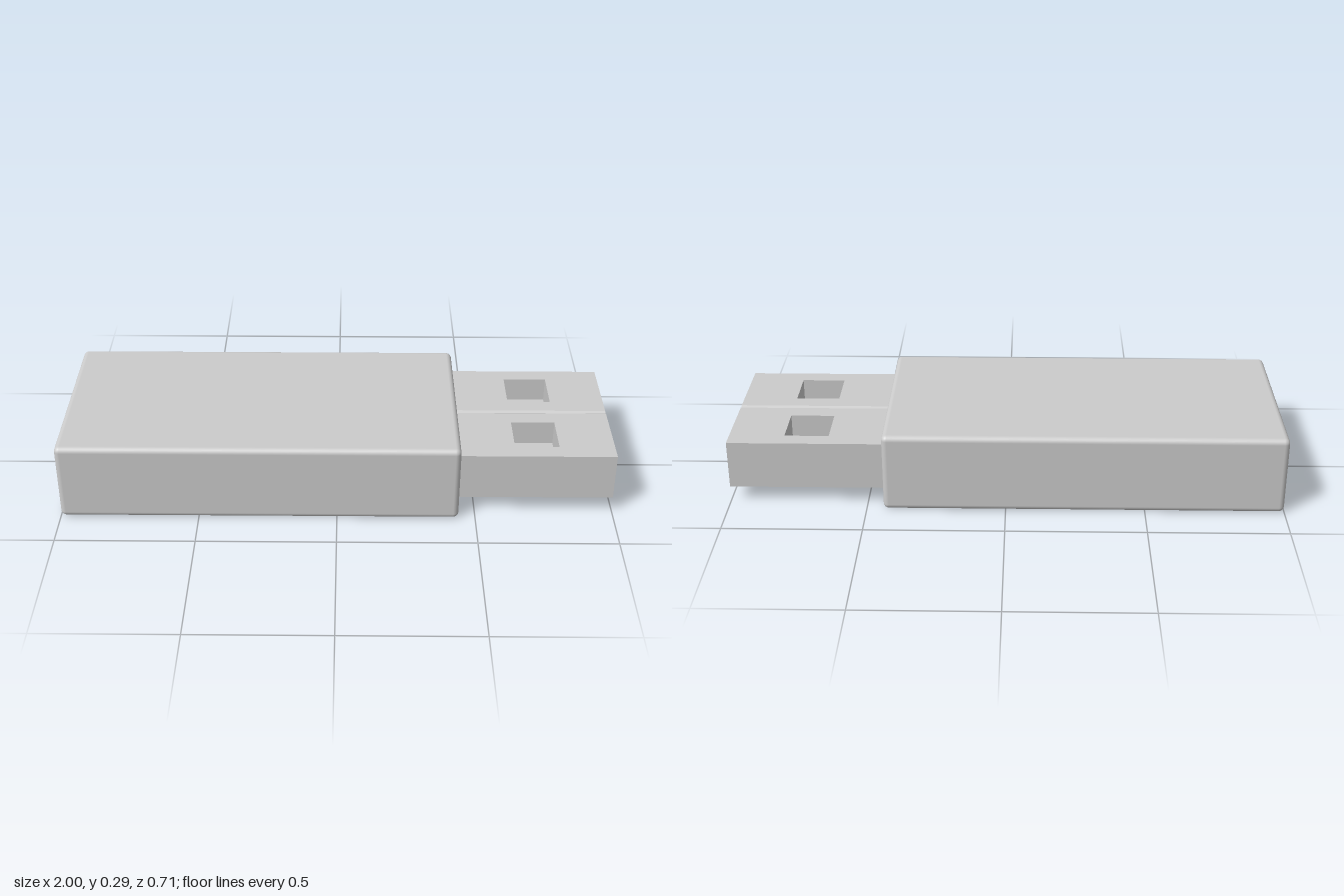
import * as THREE from 'three';
import { mergeGeometries } from 'three/addons/utils/BufferGeometryUtils.js';
import { RoundedBoxGeometry } from 'three/addons/geometries/RoundedBoxGeometry.js';

const rect = (u0, u1, v0, v1) => [[u0, v0], [u1, v0], [u1, v1], [u0, v1]];
const level = y => ([x, z]) => [x, y, z];   // outline in (x, z)
const section = x => ([z, y]) => [x, y, z]; // outline in (z, y)

// Geometry from a list of triangle corners, one flat normal per face
function fromCorners(corners, flip) {
  const pts = [];
  for (let i = 0; i < corners.length; i += 3) {
    const [a, b, c] = corners.slice(i, i + 3);
    pts.push(...a, ...(flip ? c : b), ...(flip ? b : c));
  }
  const g = new THREE.BufferGeometry();
  g.setAttribute('position', new THREE.Float32BufferAttribute(pts, 3));
  g.computeVertexNormals();
  return g;
}

// Flat sheet with holes; unflipped it faces down (level) or -x (section)
function sheet(outline, holes, map, flip) {
  const toPoints = loop => loop.map(p => new THREE.Vector2(...p));
  const shape = new THREE.Shape(toPoints(outline));
  shape.holes = holes.map(h => new THREE.Path(toPoints(h)));
  const g = new THREE.ShapeGeometry(shape).toNonIndexed();
  const p = g.attributes.position;
  const corners = [];
  for (let i = 0; i < p.count; i++) corners.push(map([p.getX(i), p.getY(i)]));
  return fromCorners(corners, flip);
}

// Walls swept along a line from map a to map b; unflipped they face inward
function walls(line, a, b, flip) {
  const corners = [];
  for (let i = 0; i + 1 < line.length; i++) {
    const p = line[i], q = line[i + 1];
    corners.push(a(p), a(q), b(q), a(p), b(q), b(p));
  }
  return fromCorners(corners, flip);
}

export function createModel() {
  const model = new THREE.Group();
  const material = new THREE.MeshStandardMaterial({ color: 0xcccccc });
  const add = (name, geometry) => {
    const mesh = new THREE.Mesh(geometry, material);
    mesh.name = name;
    model.add(mesh);
    return mesh;
  };

  // Casing
  add('casing', new RoundedBoxGeometry(1.44, 0.292, 0.714, 3, 0.02)).position.set(-0.28, 0.146, 0);

  // Plug dimensions
  const x0 = 0.43, x1 = 1, w = 0.3, bottom = 0.058, top = 0.235;
  const inW = 0.294, floor = 0.065, ceiling = 0.14, pocket = 0.145;
  const seamW = 0.01, seamY = 0.23;
  const windows = [rect(0.64, 0.8, 0.074, 0.238), rect(0.64, 0.8, -0.238, -0.074)];
  const closed = loop => [...loop, loop[0]];

  // Outer sleeve: sides, seam groove, top halves and underside
  const right = [[w, bottom], [w, top]];
  const seam = [[seamW, top], [0, seamY], [-seamW, top]];
  const left = [[-w, top], [-w, bottom]];
  const sleeve = [
    ...[right, seam, left].map(l => walls(l, section(x0), section(x1), true)),
    sheet(rect(x0, x1, seamW, w), [windows[0]], level(top), true),
    sheet(rect(x0, x1, -w, -seamW), [windows[1]], level(top), true),
    sheet(rect(x0, x1, -w, w), windows, level(bottom), false),
    // End face around the opening
    sheet([...right, ...seam, ...left], [rect(-inW, inW, floor, ceiling)], section(x1), true),
  ];
  // Window pockets above and cut-outs below
  for (const win of windows) {
    sleeve.push(
      walls(closed(win), level(pocket), level(top), false),
      sheet(win, [], level(pocket), true),
      walls(closed(win), level(bottom), level(floor), false));
  }
  add('plugSleeve', mergeGeometries(sleeve));

  // Socket cavity under the contact tongue
  const arch = [[inW, floor], [inW, ceiling], [-inW, ceiling], [-inW, floor]];
  add('plugCavity', mergeGeometries([
    walls(arch, section(x0 + 0.02), section(x1), false),
    sheet(rect(x0 + 0.02, x1, -inW, inW), windows, level(floor), true),
    sheet(rect(-inW, inW, floor, ceiling), [], section(x0 + 0.02), true),
  ]));

  return model;
}
